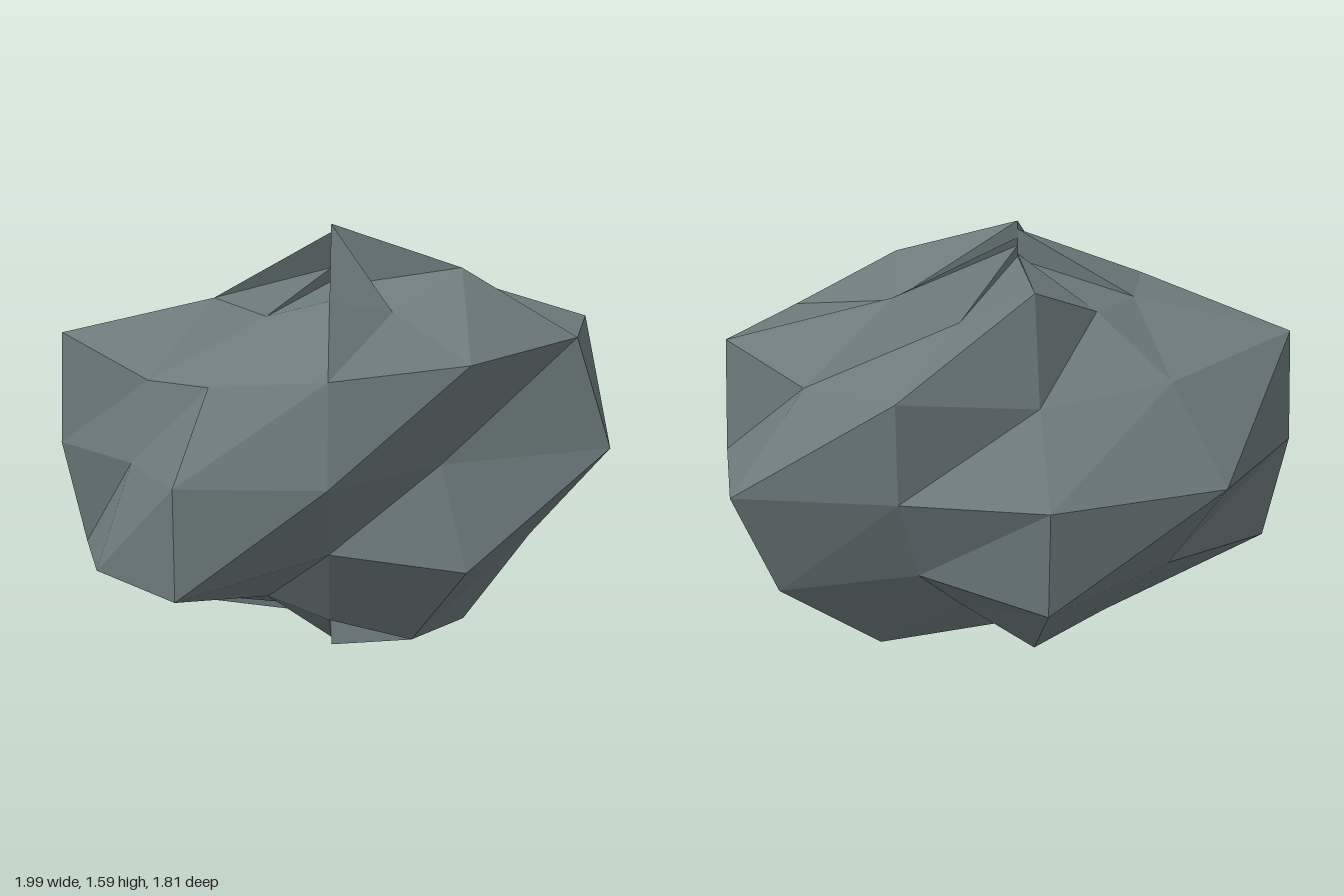
import * as THREE from 'three';

const SEGMENTS = 11;
const LONG = 1.59, SHORT = 1.235;             // horizontal stretch of the boulder
const AXIS = THREE.MathUtils.degToRad(133.5); // direction of the long axis
const CENTRE = new THREE.Vector3(-0.005, 0.8, -0.035);

// Bumpiness: distance from the centre for each ring, from top to bottom.
// The pole rows also vary, which makes small upright steps around each pole.
const RINGS = [
  [0.65, 0.76, 0.63, 0.58, 0.79, 0.56, 0.79, 0.73, 0.70, 0.66, 0.67],
  [0.60, 0.64, 0.58, 0.65, 0.58, 0.74, 0.60, 0.68, 0.60, 0.74, 0.60],
  [0.81, 0.57, 0.61, 0.68, 0.73, 0.80, 0.81, 0.66, 0.70, 0.55, 0.66],
  [0.71, 0.54, 0.67, 0.67, 0.51, 0.79, 0.71, 0.76, 0.60, 0.69, 0.77],
  [0.75, 0.73, 0.77, 0.56, 0.72, 0.66, 0.66, 0.75, 0.59, 0.76, 0.66],
  [0.70, 0.62, 0.58, 0.66, 0.77, 0.77, 0.76, 0.78, 0.60, 0.75, 0.68],
  [0.56, 0.65, 0.77, 0.57, 0.80, 0.75, 0.72, 0.75, 0.73, 0.57, 0.68],
];

// Point on the stretched, bumpy ball
function point(ring, i) {
  const seg = i % SEGMENTS;
  const r = RINGS[ring][seg];
  const phi = (ring / (RINGS.length - 1)) * Math.PI;
  const u = (1.5 - seg) * (2 * Math.PI / SEGMENTS);
  const s = r * Math.sin(phi);
  const along = LONG * Math.cos(u) * s, across = SHORT * Math.sin(u) * s;
  return new THREE.Vector3(
    along * Math.cos(AXIS) - across * Math.sin(AXIS),
    r * Math.cos(phi),
    along * Math.sin(AXIS) + across * Math.cos(AXIS)
  ).add(CENTRE);
}

// Separate triangles so that every facet stays flat
function boulderGeometry() {
  const points = [];
  for (let j = 0; j < RINGS.length - 1; j++) {
    for (let i = 0; i < SEGMENTS; i++) {
      const a = point(j, i), b = point(j, i + 1);
      const c = point(j + 1, i), d = point(j + 1, i + 1);
      points.push(a, c, b, b, c, d);
    }
  }
  const geometry = new THREE.BufferGeometry().setFromPoints(points);
  geometry.computeVertexNormals();
  return geometry;
}

export function createModel() {
  const stone = new THREE.MeshStandardMaterial({ color: 0x6c7a7c, flatShading: true });
  stone.name = 'greyStone';

  const boulder = new THREE.Mesh(boulderGeometry(), stone);
  boulder.name = 'boulder';

  const model = new THREE.Group();
  model.name = 'rock';
  model.add(boulder);
  return model;
}
